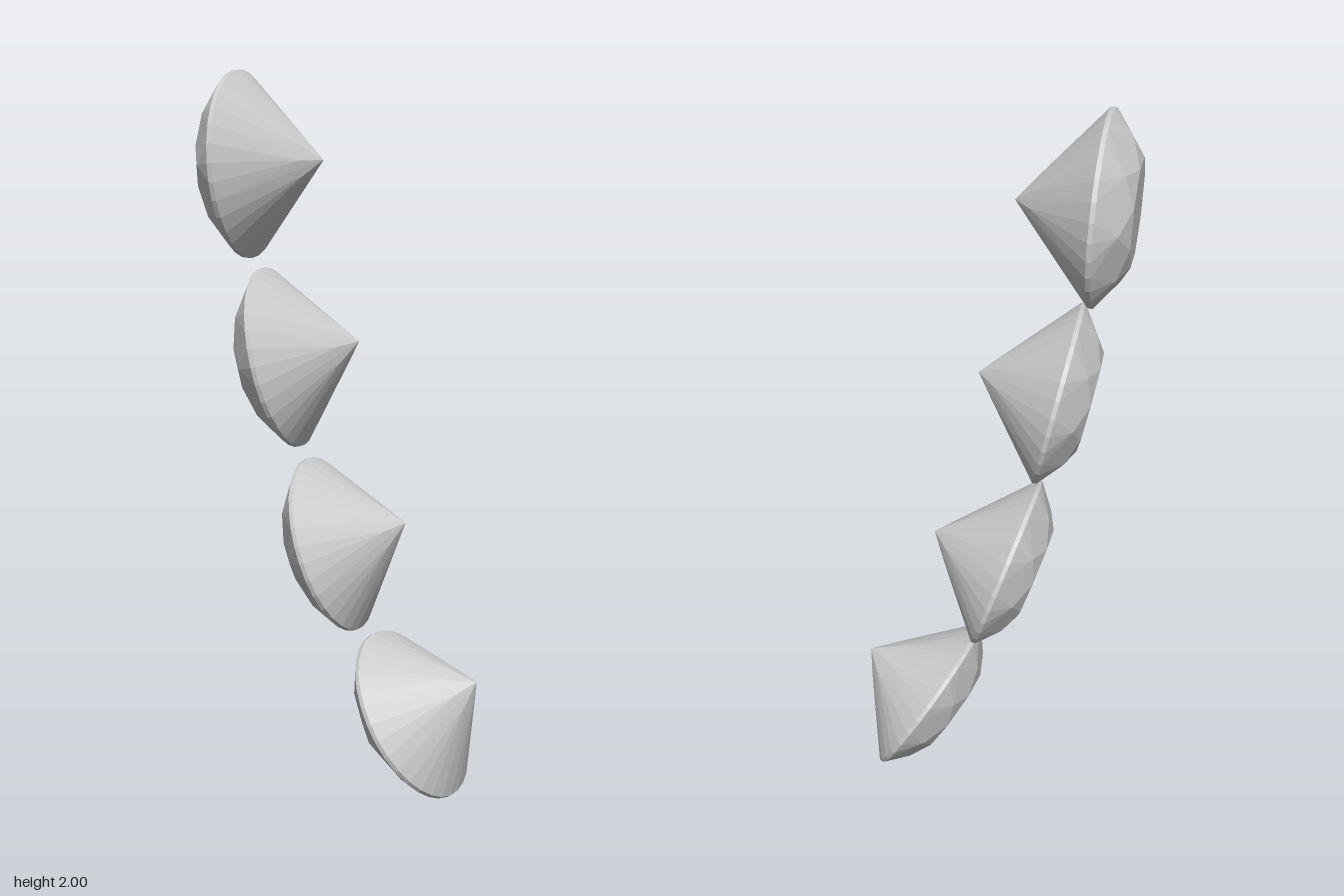
import * as THREE from 'three';
import { ConvexGeometry } from 'three/addons/geometries/ConvexGeometry.js';

// Ring of points around the gem axis (+y); offset is in 1/32 turns
function ring(count, radius, y, offset = 0) {
  return Array.from({ length: count }, (_, i) => {
    const a = (i / count + offset / 32) * Math.PI * 2;
    return new THREE.Vector3(Math.cos(a) * radius, y, Math.sin(a) * radius);
  });
}

// Brilliant cut: the facets are the convex hull of its rings
function gemGeometry() {
  return new ConvexGeometry([
    ...ring(8, 0.138, 0.088, 2),   // table
    ...ring(8, 0.19, 0.061),       // star and kite corners
    ...ring(32, 0.251, 0.006),     // girdle, upper edge
    ...ring(32, 0.251, -0.006),    // girdle, lower edge
    ...ring(8, 0.056, -0.178),     // pavilion facet corners
    new THREE.Vector3(0, -0.224, 0), // point
  ]);
}

// Girdle centre and pavilion point of each gem, top to bottom
const GEMS = [
  { centre: [-0.21, 1.755, 0.151], tip: [-0.01, 1.766, 0.05] },
  { centre: [-0.126, 1.233, 0.096], tip: [0.065, 1.283, -0.01] },
  { centre: [-0.028, 0.705, -0.004], tip: [0.165, 0.78, -0.095] },
  { centre: [0.165, 0.22, -0.132], tip: [0.345, 0.34, -0.195] },
];

export function createModel() {
  const model = new THREE.Group();
  model.name = 'gemCascade';
  const geometry = gemGeometry();
  const material = new THREE.MeshStandardMaterial({ color: 0xcccccc, flatShading: true });

  GEMS.forEach(({ centre, tip }, i) => {
    const c = new THREE.Vector3(...centre);
    // The table faces away from the point; one axis stays level
    const axis = c.clone().sub(new THREE.Vector3(...tip)).normalize();
    const level = new THREE.Vector3(0, 1, 0).cross(axis).normalize();
    const side = level.clone().cross(axis);
    const gem = new THREE.Mesh(geometry, material);
    gem.name = `gem${i + 1}`;
    gem.quaternion.setFromRotationMatrix(new THREE.Matrix4().makeBasis(level, axis, side));
    gem.position.copy(c);
    model.add(gem);
  });
  return model;
}
